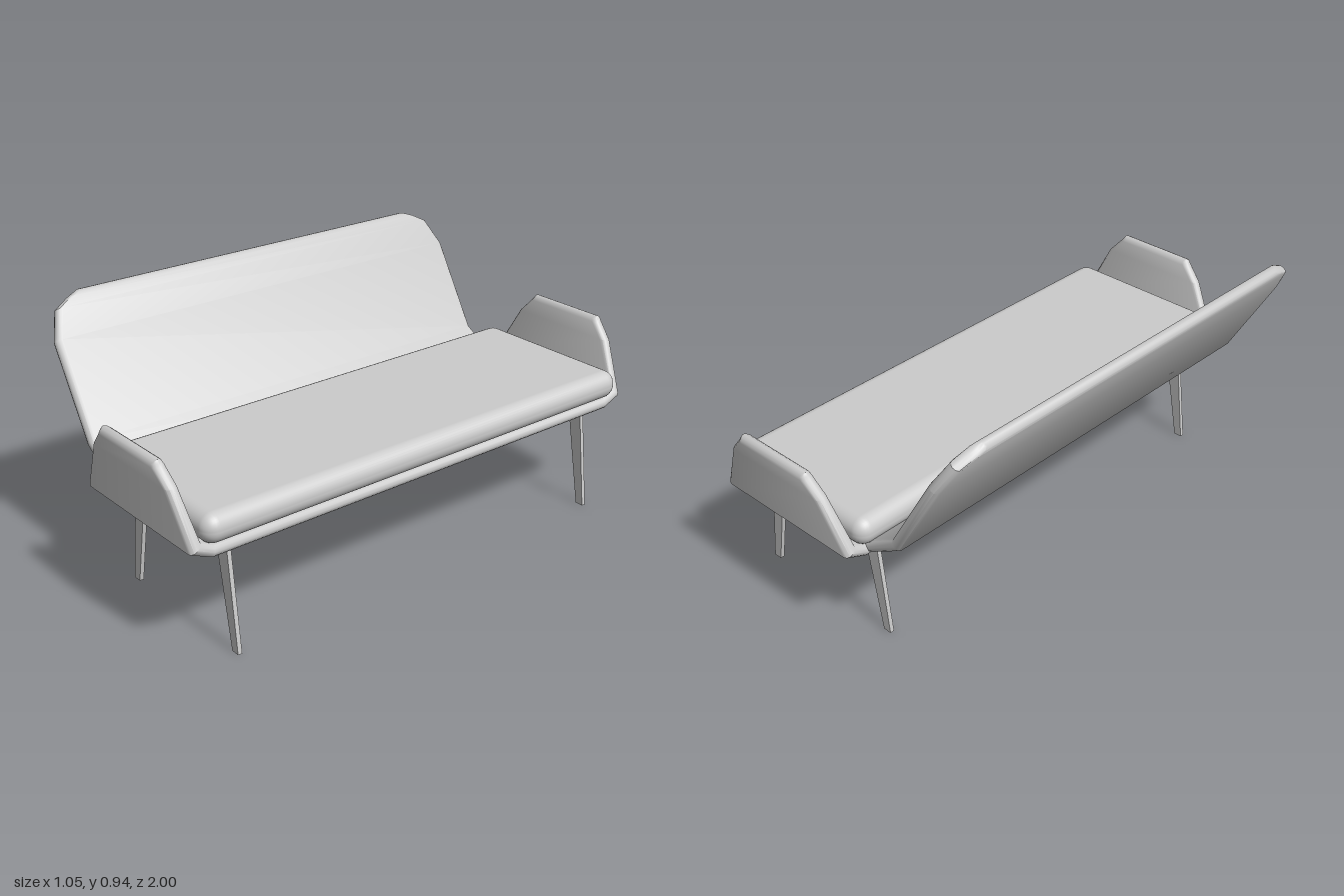
import * as THREE from 'three';
import { toCreasedNormals } from 'three/addons/utils/BufferGeometryUtils.js';
import { RoundedBoxGeometry } from 'three/addons/geometries/RoundedBoxGeometry.js';

const material = new THREE.MeshStandardMaterial({ color: 0xcccccc });
const T = 0.022; // half thickness of the bent panels
const ARC = 6;   // steps in each rounded edge

// Bent panel with rounded rim. Stations are [u, v, lo, hi]: a path point and its width range.
// taper narrows each side across the rounded end; swap runs the path along z instead of x.
function bentPanel(stations, taper, swap) {
  const points = stations.map(([u, v]) => new THREE.Vector2(u, v));
  const last = points.length - 1;
  const dir = (i) => points[i + 1].clone().sub(points[i]).normalize();
  const rings = [];

  stations.forEach(([, , lo, hi], i) => {
    const before = dir(Math.max(i - 1, 0));
    const after = dir(Math.min(i, last - 1));
    const tangent = before.clone().add(after).normalize();
    const normal = new THREE.Vector2(-tangent.y, tangent.x);
    const miter = 1 / tangent.dot(before);
    const add = (angle, sign) => {
      const s = Math.sin(angle);
      rings.push({
        p: points[i].clone().addScaledVector(tangent, sign * T * s),
        normal, r: T * Math.cos(angle), miter,
        lo: lo + taper * s, hi: hi - taper * s,
      });
    };
    if (i === 0) for (let k = 3; k > 0; k--) add((k * Math.PI) / 6, -1);
    add(0, 1);
    if (i === last) for (let k = 1; k <= 3; k++) add((k * Math.PI) / 6, 1);
  });

  const positions = [];
  const index = [];
  const n = 2 * (ARC + 1);
  rings.forEach(({ p, normal, r, miter, lo, hi }, j) => {
    for (let k = 0; k < n; k++) {
      const right = k <= ARC;
      const a = ((right ? k : k - 1) / ARC) * Math.PI - Math.PI / 2;
      const w = (right ? hi - r : lo + r) + r * Math.cos(a);
      const q = p.clone().addScaledVector(normal, r * miter * Math.sin(a));
      positions.push(...(swap ? [w, q.y, q.x] : [q.x, q.y, w]));
      if (j === rings.length - 1) continue;
      const a0 = j * n + k, a1 = j * n + ((k + 1) % n);
      const b0 = a0 + n, b1 = a1 + n;
      if (swap) index.push(a0, a1, b1, a0, b1, b0);
      else index.push(a0, b1, a1, a0, b0, b1);
    }
  });
  const geometry = new THREE.BufferGeometry();
  geometry.setAttribute('position', new THREE.Float32BufferAttribute(positions, 3));
  geometry.setIndex(index);
  return toCreasedNormals(geometry, 0.6);
}

export function createModel() {
  const group = new THREE.Group();
  const add = (name, geometry) => {
    const mesh = new THREE.Mesh(geometry, material);
    mesh.name = name;
    group.add(mesh);
    return mesh;
  };

  // Seat base that bends up into an armrest at each end
  const arm = [
    [0.885, 0.4, -0.125, 0.5],
    [0.947, 0.427, -0.125, 0.5],
    [0.97, 0.61, -0.03, 0.415],
    [0.978, 0.665, 0.02, 0.365],
  ];
  const mirrored = arm.map(([z, ...rest]) => [-z, ...rest]).reverse();
  add('seatBaseWithArmrests', bentPanel([...mirrored, ...arm], 0.015, true));

  // Leaning backrest with clipped upper corners
  const back = [
    [-0.1, 0.4, 0.885],
    [-0.25, 0.487, 0.885],
    [-0.436, 0.8, 0.885],
    [-0.49, 0.89, 0.845],
    [-0.506, 0.918, 0.79],
  ].map(([x, y, w]) => [x, y, -w, w]);
  add('backrest', bentPanel(back, 0.05, false));

  // Seat cushion
  const cushion = add('seatCushion', new RoundedBoxGeometry(0.665, 0.106, 1.85, 4, 0.05));
  cushion.position.set(0.188, 0.477, 0);

  // Four thin, tapered, splayed legs: [top left, top right, bottom right, bottom left] in x
  const legs = { frontLeg: [0.395, 0.452, 0.498, 0.466], backLeg: [-0.078, -0.021, -0.09, -0.122] };
  for (const [name, [a, b, c, d]] of Object.entries(legs)) {
    const shape = new THREE.Shape([
      new THREE.Vector2(d, 0), new THREE.Vector2(c, 0),
      new THREE.Vector2(b, 0.385), new THREE.Vector2(a, 0.385),
    ]);
    const geometry = new THREE.ExtrudeGeometry(shape, { depth: 0.016, bevelEnabled: false });
    geometry.translate(0, 0, -0.008);
    for (const side of [-1, 1]) add(name, geometry).position.z = side * 0.805;
  }
  return group;
}
